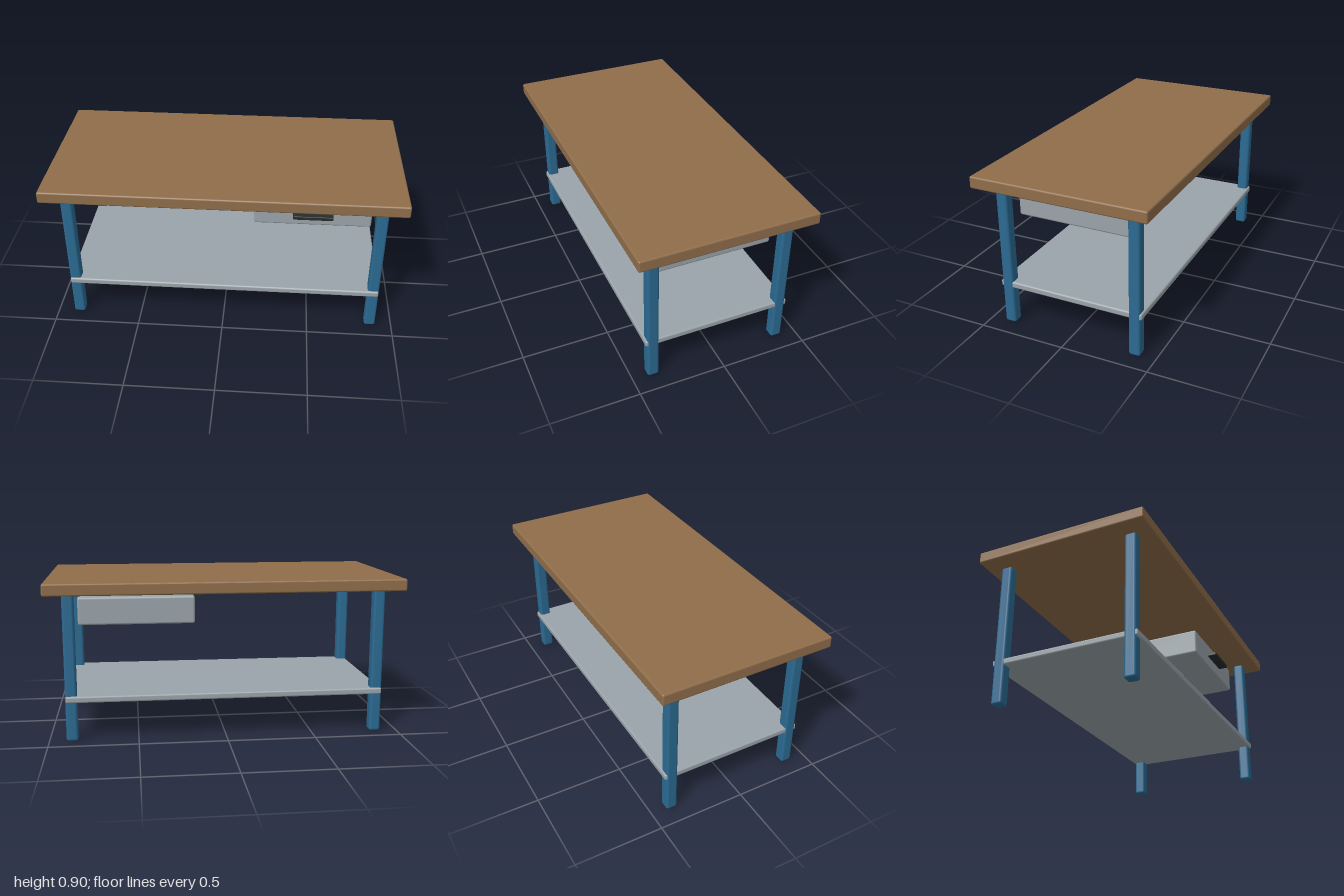
import * as THREE from 'three';
import { RoundedBoxGeometry } from 'three/addons/geometries/RoundedBoxGeometry.js';

export function createModel() {
  const table = new THREE.Group();
  table.name = 'workbench';

  const material = (name, color) => {
    const m = new THREE.MeshStandardMaterial({ color });
    m.name = name;
    return m;
  };
  const wood = material('wood', 0x8f6d4a);
  const bluePaint = material('blue paint', 0x2b6a92);
  const greyMetal = material('grey metal', 0x9aa4aa);
  const darkMetal = material('dark metal', 0x262c2c);

  // Soft-edged block given by its minimum and maximum corners
  const block = (name, mat, [x0, y0, z0], [x1, y1, z1], radius) => {
    const geometry = new RoundedBoxGeometry(x1 - x0, y1 - y0, z1 - z0, 3, radius);
    const mesh = new THREE.Mesh(geometry, mat);
    mesh.name = name;
    mesh.position.set((x0 + x1) / 2, (y0 + y1) / 2, (z0 + z1) / 2);
    table.add(mesh);
  };

  block('tabletop', wood, [-1, 0.832, -0.5], [1, 0.9, 0.5], 0.01);
  block('lowerShelf', greyMetal, [-0.901, 0.223, -0.425], [0.901, 0.26, 0.425], 0.01);

  // Four legs mirrored about both axes
  for (const [side, sx] of [['Left', 1], ['Right', -1]]) {
    for (const [end, sz] of [['front', 1], ['back', -1]]) {
      const x = 0.872 * sx, z = 0.382 * sz, h = 0.0325;
      block(`${end}${side}Leg`, bluePaint, [x - h, 0, z - h], [x + h, 0.832, z + h], 0.014);
    }
  }

  // Drawer hung under the left half, with its pull
  block('drawer', greyMetal, [0.17, 0.643, -0.324], [0.825, 0.8, 0.324], 0.012);
  block('drawerHandle', darkMetal, [0.388, 0.711, 0.315], [0.608, 0.733, 0.378], 0.004);

  return table;
}
